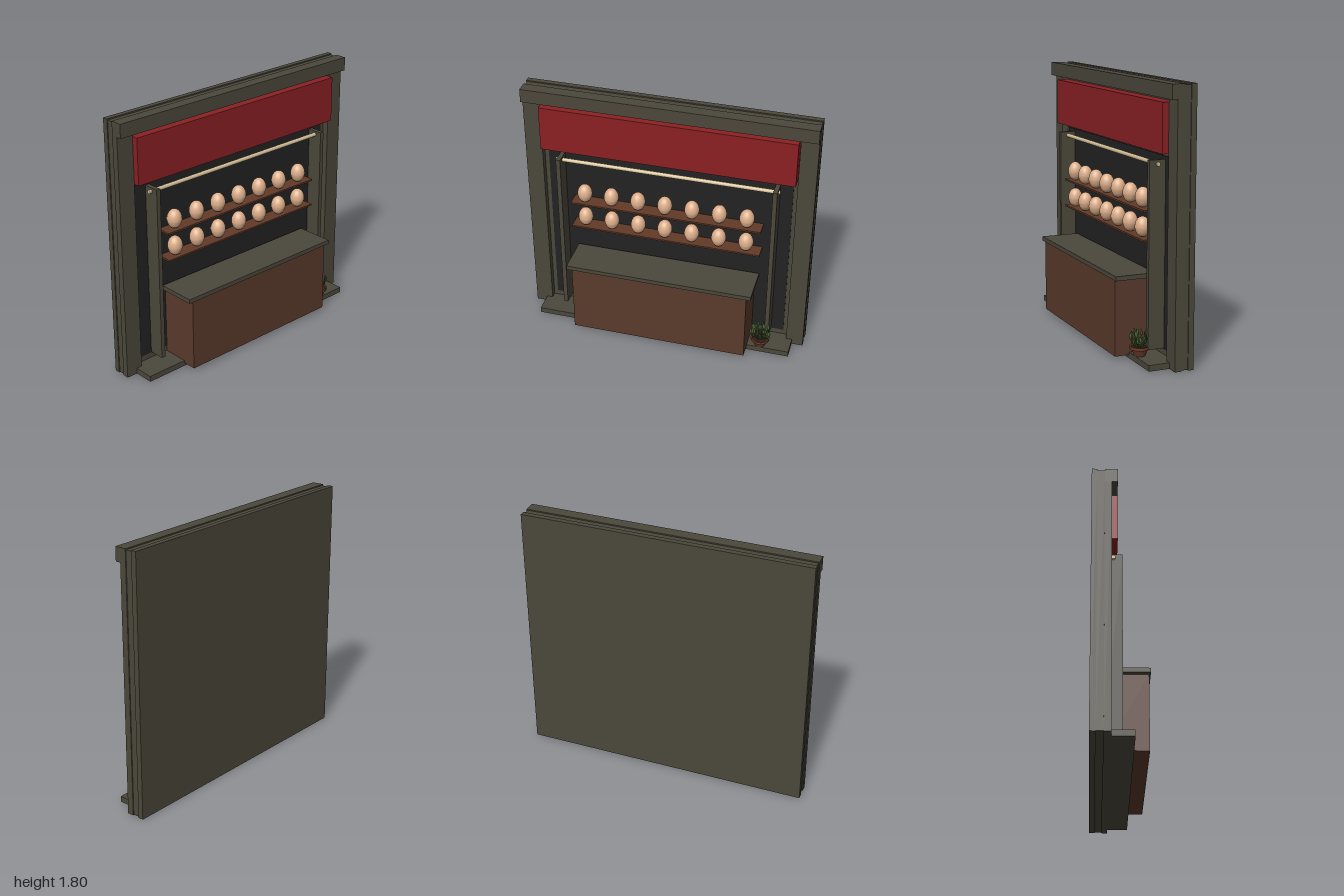
import * as THREE from 'three';

const mat = (name, color, side = THREE.FrontSide) => {
  const m = new THREE.MeshStandardMaterial({ color, side });
  m.name = name;
  return m;
};

export function createModel() {
  const stone = mat('stone', 0x4b473b);
  const red = mat('signRed', 0x8a2023);
  const black = mat('recessBlack', 0x222222);
  const wood = mat('counterWood', 0x5a3a2c);
  const shelfWood = mat('shelfWood', 0x633a28);
  const bamboo = mat('bamboo', 0xd2bd94);
  const shell = mat('eggShell', 0xdcae8a);
  const clay = mat('clay', 0x6e3d2b, THREE.DoubleSide);
  const soil = mat('soil', 0x2f2018);
  const green = mat('leafGreen', 0x42662d, THREE.DoubleSide);

  const root = new THREE.Group();
  root.name = 'shopFront';

  const add = (name, geo, material, parent = root) => {
    const mesh = new THREE.Mesh(geo, material);
    mesh.name = name;
    parent.add(mesh);
    return mesh;
  };
  // Box given by its extents along each axis
  const box = (name, [x0, x1], [y0, y1], [z0, z1], material, parent) => {
    const mesh = add(name, new THREE.BoxGeometry(x1 - x0, y1 - y0, z1 - z0), material, parent);
    mesh.position.set((x0 + x1) / 2, (y0 + y1) / 2, (z0 + z1) / 2);
    return mesh;
  };
  const group = (name) => {
    const g = new THREE.Group();
    g.name = name;
    root.add(g);
    return g;
  };

  // Wall, frame and recess
  box('backWall', [-1, 1], [0, 1.8], [-0.19, -0.152], stone);
  box('innerWall', [-0.994, 0.994], [0.004, 1.792], [-0.152, -0.105], stone);
  box('recessPanel', [-0.85, 0.85], [0.08, 1.33], [-0.105, -0.1], black);
  box('topBeam', [-1, 1], [1.705, 1.8], [-0.105, -0.023], stone);
  for (const s of [-1, 1]) {
    box('pillar', [s * 0.94 - 0.06, s * 0.94 + 0.06], [0, 1.705], [-0.105, -0.06], stone);
    box('post', [s * 0.747 - 0.015, s * 0.747 + 0.015], [0.085, 1.31], [-0.1, 0.012], stone);
  }
  box('step', [-0.922, 0.922], [0, 0.04], [-0.105, 0.082], stone);

  // Sign board
  box('signBoard', [-0.877, 0.873], [1.36, 1.68], [-0.105, -0.021], red);

  // Hanging rod
  const rod = add('curtainRod', new THREE.CylinderGeometry(0.014, 0.014, 1.55, 16), bamboo);
  rod.rotation.z = Math.PI / 2;
  rod.position.set(-0.003, 1.283, -0.047);

  // Counter
  box('counterBody', [-0.625, 0.622], [0.022, 0.53], [-0.1, 0.18], wood);
  box('counterTop', [-0.66, 0.655], [0.53, 0.56], [-0.085, 0.19], stone);

  // Shelves with rows of eggs
  const eggProfile = [[0, 0], [0.022, 0.006], [0.039, 0.024], [0.049, 0.05], [0.051, 0.068],
    [0.047, 0.092], [0.036, 0.114], [0.02, 0.129], [0, 0.135]]
    .map(([x, y]) => new THREE.Vector2(x, y));
  const eggGeo = new THREE.LatheGeometry(new THREE.SplineCurve(eggProfile).getPoints(24)
    .map((p) => p.setX(Math.max(0, p.x))), 24);
  for (const y of [0.97, 0.777]) {
    const row = group('shelfRow');
    box('shelf', [-0.67, 0.665], [y - 0.007, y + 0.005], [-0.1, 0.006], shelfWood, row);
    for (let i = 0; i < 7; i++) {
      add('egg', eggGeo, shell, row).position.set(-0.58 + i * 0.19, y + 0.005, -0.039);
    }
  }

  // Potted plant
  const plant = group('pottedPlant');
  plant.position.set(0.711, 0, 0.047);
  const potProfile = [[0, 0.018], [0.033, 0.018], [0.036, 0.04], [0.054, 0.084], [0.065, 0.086],
    [0.067, 0.107], [0.057, 0.107], [0.053, 0.09]].map(([x, y]) => new THREE.Vector2(x, y));
  add('pot', new THREE.LatheGeometry(potProfile, 20).toNonIndexed(), clay, plant).geometry.computeVertexNormals();
  add('soil', new THREE.CylinderGeometry(0.055, 0.05, 0.008, 20), soil, plant).position.y = 0.092;

  // Stems fan outward, each ending in upright leaves
  const leafGeo = new THREE.SphereGeometry(1, 8, 6);
  for (let i = 0; i < 11; i++) {
    const a = i * 2.4;
    const r = 0.022 + 0.05 * Math.sqrt(i / 10);
    const h = 0.212 - 0.05 * (i / 10) + 0.012 * Math.sin(i * 3.1);
    const tip = new THREE.Vector3(Math.cos(a) * r, h - 0.02, Math.sin(a) * r);
    const curve = new THREE.QuadraticBezierCurve3(
      new THREE.Vector3(tip.x * 0.2, 0.09, tip.z * 0.2),
      new THREE.Vector3(tip.x * 0.8, 0.11, tip.z * 0.8), tip);
    add('stem', new THREE.TubeGeometry(curve, 6, 0.003, 5), green, plant);
    for (const [t, size] of [[1, 1], [0.6, 0.75]]) {
      const leaf = add('leaf', leafGeo, green, plant);
      leaf.position.copy(curve.getPoint(t));
      leaf.position.x += (1 - t) * 0.03 * Math.sin(a);
      leaf.position.y += 0.01;
      leaf.scale.set(0.012 * size, 0.023 * size, 0.006 * size);
      leaf.rotation.set(0.2 * Math.sin(a), a, 0.25 * Math.cos(a));
    }
  }

  return root;
}
